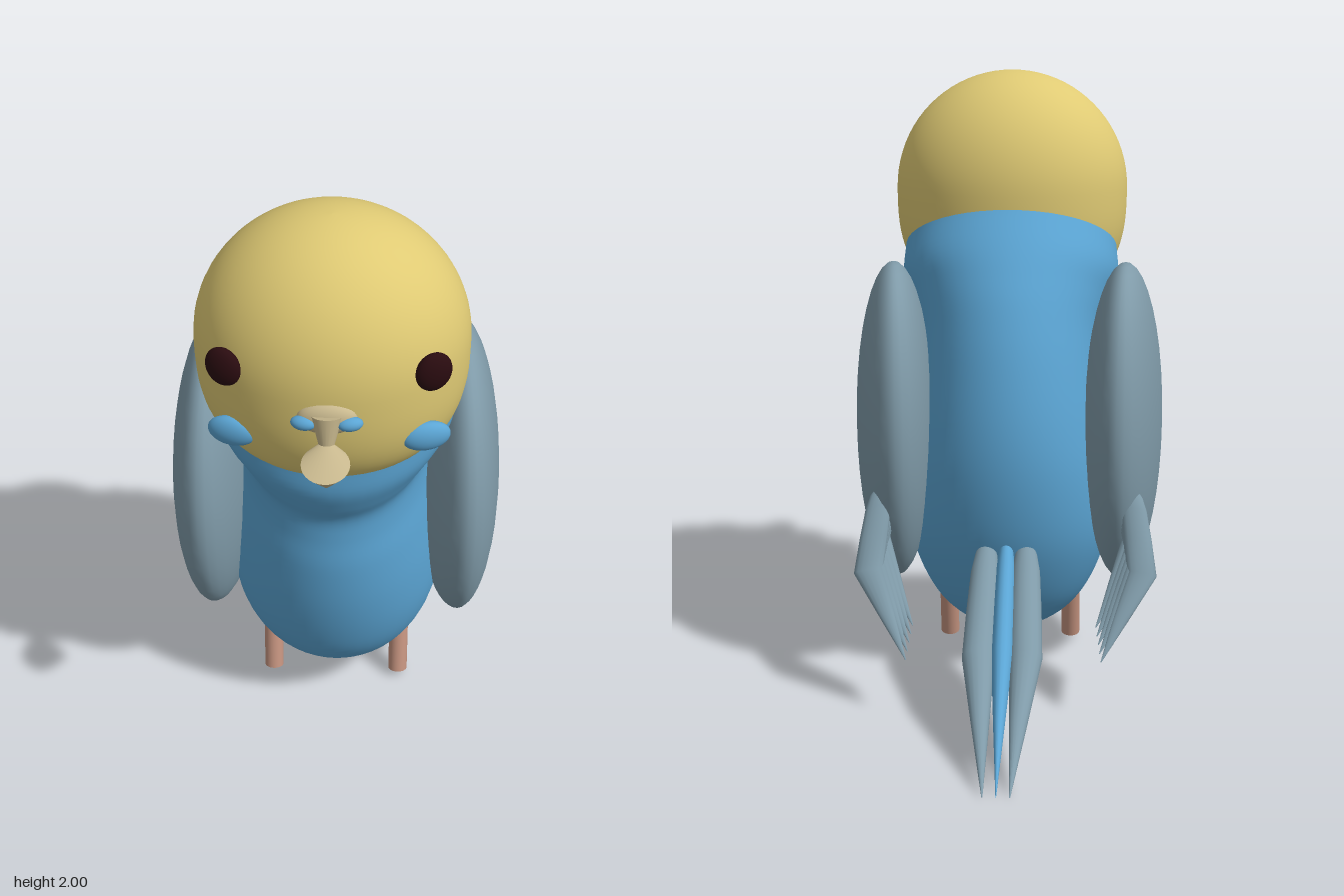
import * as THREE from 'three';

const mat = (name, color, side = THREE.FrontSide) => {
  const m = new THREE.MeshStandardMaterial({ color, side });
  m.name = name;
  return m;
};
const V = (x, y, z) => new THREE.Vector3(x, y, z);

// Skin over elliptical rings: each ring is { c, u, v } = centre and two half-axes
function loft(rings, n) {
  const pos = [], idx = [];
  rings.forEach(({ c, u, v }, i) => {
    for (let j = 0; j < n; j++) {
      const a = (j / n) * Math.PI * 2;
      const p = c.clone().addScaledVector(u, Math.sin(a)).addScaledVector(v, Math.cos(a));
      pos.push(p.x, p.y, p.z);
      if (i < rings.length - 1) {
        const k = (j + 1) % n, r = i * n, s = r + n;
        idx.push(r + j, s + j, r + k, r + k, s + j, s + k);
      }
    }
  });
  const g = new THREE.BufferGeometry();
  g.setAttribute('position', new THREE.Float32BufferAttribute(pos, 3));
  g.setIndex(idx);
  g.computeVertexNormals();
  return g;
}

// Bent feather: rounded root, full width to the shoulder, then a long taper to the tip
function feather(root, shoulder, tip, w, h) {
  const dir = tip.clone().sub(root).normalize();
  const side = V(1, 0, 0).addScaledVector(dir, -dir.x).normalize();
  const up = dir.clone().cross(side);
  const ring = (c, s) => ({ c, u: side.clone().multiplyScalar(w * s), v: up.clone().multiplyScalar(h * s) });
  const mix = (a, b, t) => a.clone().lerp(b, t);
  return loft([
    ring(root, 0.01), ring(mix(root, shoulder, 0.03), 0.45), ring(mix(root, shoulder, 0.1), 0.7),
    ring(mix(root, shoulder, 0.25), 0.88), ring(mix(root, shoulder, 0.6), 0.97), ring(shoulder, 1),
    ring(mix(shoulder, tip, 0.5), 0.53), ring(tip, 0.03),
  ], 16);
}

export function createModel() {
  const model = new THREE.Group();
  const blue = mat('blue plumage', 0x5ba5d4);
  const yellow = mat('yellow head', 0xdfca74);
  const grey = mat('grey wing', 0x7f9aa8);
  const dark = mat('dark eye', 0x2a0c10);
  const horn = mat('horn beak', 0xc8b88e);
  const pink = mat('pink leg', 0xc4937f);

  const add = (name, geo, material, p = [0, 0, 0], r = [0, 0, 0]) => {
    const m = new THREE.Mesh(geo, material);
    m.name = name;
    m.position.set(...p);
    m.rotation.set(...r);
    model.add(m);
    return m;
  };
  const ball = (name, material, size, p, r) =>
    add(name, new THREE.SphereGeometry(1, 32, 20), material, p, r).scale.set(...size);

  // Body: tilted rings as [front z, front y, back z, back y, half width]
  const profile = [
    [0.68, 1.23, 0.14, 1.56, 0.365], [0.675, 1.13, 0.06, 1.46, 0.37],
    [0.64, 1.04, 0.0, 1.37, 0.335], [0.6, 0.96, -0.06, 1.26, 0.305],
    [0.595, 0.87, -0.12, 1.1, 0.305], [0.6, 0.75, -0.165, 0.9, 0.325],
    [0.585, 0.58, -0.175, 0.72, 0.345], [0.55, 0.42, -0.15, 0.53, 0.345],
    [0.5, 0.29, -0.1, 0.38, 0.31], [0.42, 0.18, -0.02, 0.235, 0.24],
    [0.33, 0.11, 0.08, 0.135, 0.14], [0.21, 0.08, 0.2, 0.08, 0.005],
  ];
  const front = new THREE.CatmullRomCurve3(profile.map(p => V(p[4], p[1], p[0])), false, 'catmullrom');
  const back = new THREE.CatmullRomCurve3(profile.map(p => V(0, p[3], p[2])), false, 'catmullrom');
  const rings = [];
  for (let i = 0; i <= 55; i++) {
    const f = front.getPoint(i / 55), b = back.getPoint(i / 55);
    rings.push({
      c: V(0, (f.y + b.y) / 2, (f.z + b.z) / 2),
      u: V(Math.max(f.x, 0.003), 0, 0),
      v: V(0, (f.y - b.y) / 2, (f.z - b.z) / 2),
    });
  }
  add('body', loft(rings, 48), blue);

  // Head: ellipsoid with a fuller lower half that sinks into the collar
  const head = new THREE.SphereGeometry(1, 56, 40);
  const hp = head.attributes.position;
  for (let i = 0; i < hp.count; i++) {
    const y = hp.getY(i), r = Math.sqrt(Math.max(0, 1 - y * y));
    const k = y < 0 && r > 1e-4 ? Math.pow(1 - Math.pow(-y, 2.8), 1 / 2.8) / r : 1;
    hp.setXYZ(i, hp.getX(i) * k * 0.4, y * 0.4, hp.getZ(i) * k * 0.35);
  }
  head.computeVertexNormals();
  add('head', head, yellow, [0, 1.6, 0.49]);

  // Beak: rounded cere, narrow bridge and a hooked cone pointing down
  ball('cere', horn, [0.085, 0.052, 0.035], [0, 1.555, 0.83]);
  add('beakBridge', new THREE.CylinderGeometry(0.045, 0.014, 0.12, 20), horn, [0, 1.515, 0.858], [-0.3, 0, 0]);
  const tip = V(0, 1.345, 0.882);
  const rim = { c: V(0, 1.468, 0.928), u: V(0.068, 0, 0), v: V(0, -0.016, 0.066) };
  const point = (c, s) => ({ c, u: V(s, 0, 0), v: V(0, 0, s) });
  add('beak', loft([rim, point(tip, 0.002)], 28), horn);
  add('beakTop', loft([point(V(0, 1.5, 0.872), 0.012), rim], 28), horn);

  for (const s of [1, -1]) {
    const label = s > 0 ? 'left' : 'right';
    // Face
    ball(label + 'Eye', dark, [0.053, 0.062, 0.028], [s * 0.29, 1.66, 0.748], [0, s * 0.35, s * -0.12]);
    ball(label + 'Cheek', blue, [0.073, 0.048, 0.03], [s * 0.275, 1.425, 0.738], [0, s * 0.3, s * -0.05]);
    ball(label + 'Nostril', blue, [0.036, 0.021, 0.022], [s * 0.065, 1.55, 0.85], [0, s * 0.2, 0]);

    // Wing with a stack of flight feathers behind it
    ball(label + 'Wing', grey, [0.132, 0.543, 0.375], [s * 0.388, 0.838, 0.165], [0, s * 0.09, 0]);
    for (let i = 0; i < 5; i++) {
      const at = (x, y, z) => V(s * (x - i * 0.004), y + i * 0.021, z + i * 0.022);
      add(label + 'WingFeather' + (i + 1),
        feather(at(0.41, 0.68 - i * 0.03, -0.11), at(0.443, 0.43, -0.245), at(0.31, 0.19, -0.41), 0.048, 0.025), grey);
    }

    // Leg
    add(label + 'Leg', new THREE.CylinderGeometry(0.032, 0.032, 0.19, 24), pink, [s * 0.215, 0.12, 0.285], [-0.23, 0, 0]);

    // Outer tail feather
    add(label + 'TailFeather',
      feather(V(s * 0.065, 0.475, -0.08), V(s * 0.074, 0.235, -0.5), V(s * 0.04, 0.005, -1), 0.052, 0.046), grey);
  }
  add('middleTailFeather', feather(V(0, 0.485, -0.08), V(0, 0.245, -0.5), V(0, 0.005, -1), 0.034, 0.046), blue);

  return model;
}
